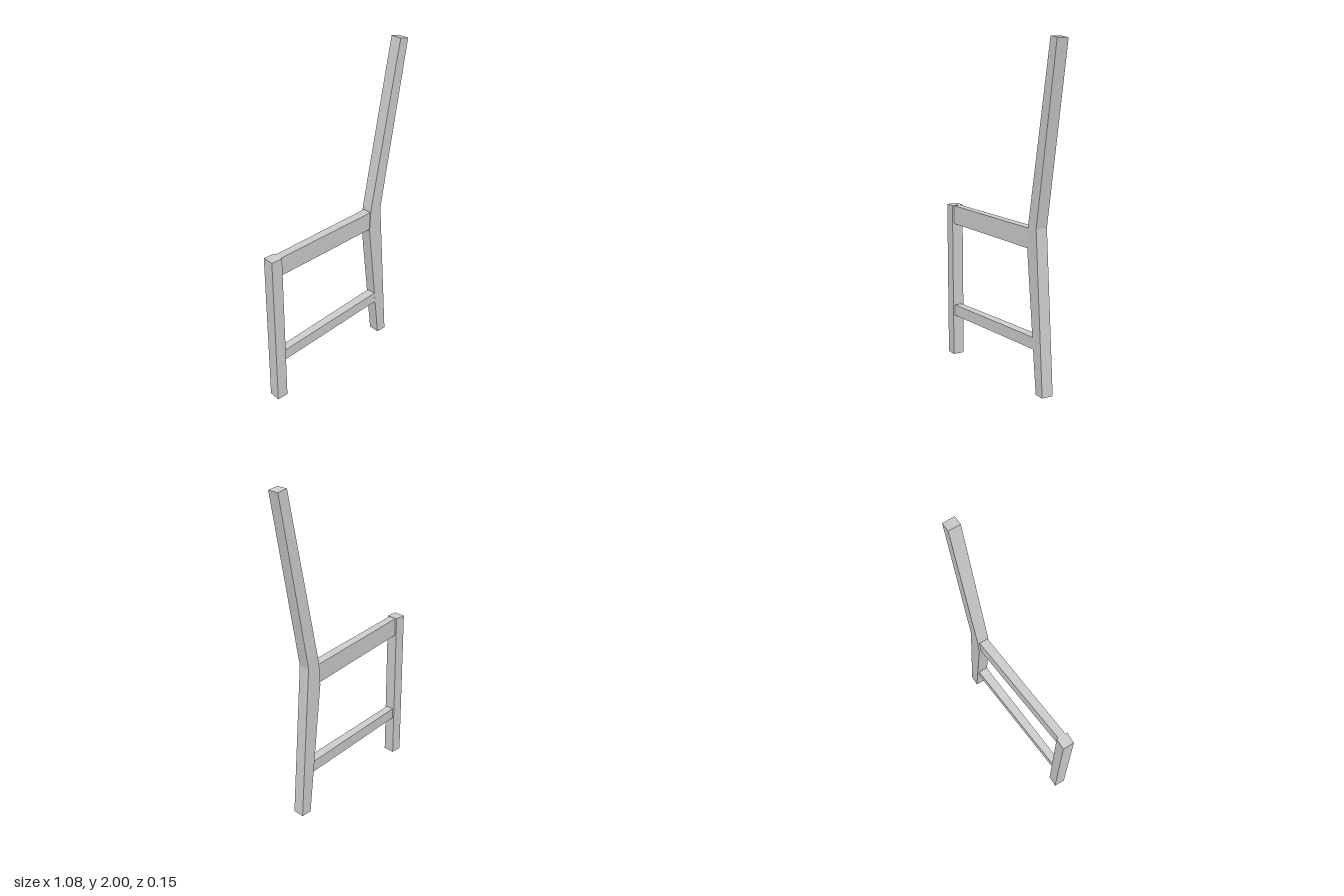
import * as THREE from 'three';

const material = new THREE.MeshStandardMaterial({ color: 0xcccccc, flatShading: true });

function addPart(group, name, geometry) {
  const mesh = new THREE.Mesh(geometry, material);
  mesh.name = name;
  group.add(mesh);
}

// Rail running along x through stations [x, yBottom, yTop, zBack, zFront]
function railGeometry(stations) {
  const n = stations.length - 1;
  const geometry = new THREE.BoxGeometry(n, 1, 1, n, 1, 1);
  const p = geometry.attributes.position;
  for (let i = 0; i < p.count; i++) {
    const [x, y0, y1, z0, z1] = stations[Math.round(p.getX(i) + n / 2)];
    p.setXYZ(i, x, p.getY(i) > 0 ? y1 : y0, p.getZ(i) > 0 ? z1 : z0);
  }
  geometry.computeVertexNormals();
  return geometry;
}

export function createModel() {
  const group = new THREE.Group();
  group.name = 'chairSideFrame';

  // Straight front leg
  const frontLeg = new THREE.BoxGeometry(0.07, 0.98, 0.072);
  frontLeg.translate(-0.505, 0.49, 0.039);
  addPart(group, 'frontLeg', frontLeg);

  // Bent back leg that rises into the back post
  const outline = [
    [0.368, 0], [0.434, 0], [0.36, 0.96], [0.54, 1.99],
    [0.48, 2], [0.28, 0.97], [0.272, 0.83],
  ].map(([x, y]) => new THREE.Vector2(x, y));
  const backPost = new THREE.ExtrudeGeometry(new THREE.Shape(outline), { depth: 0.072, bevelEnabled: false });
  backPost.translate(0, 0, -0.075);
  addPart(group, 'backLegAndPost', backPost);

  // Sloping seat rail
  addPart(group, 'seatRail', railGeometry([
    [-0.475, 0.863, 0.978, 0.015, 0.064],
    [0.285, 0.835, 0.952, -0.064, -0.008],
  ]));

  // Lower stretcher, straightened where it enters the back leg
  addPart(group, 'stretcher', railGeometry([
    [-0.475, 0.26, 0.33, 0.015, 0.064],
    [0.27, 0.26, 0.33, -0.058, 0],
    [0.345, 0.26, 0.33, -0.064, -0.004],
  ]));

  return group;
}
